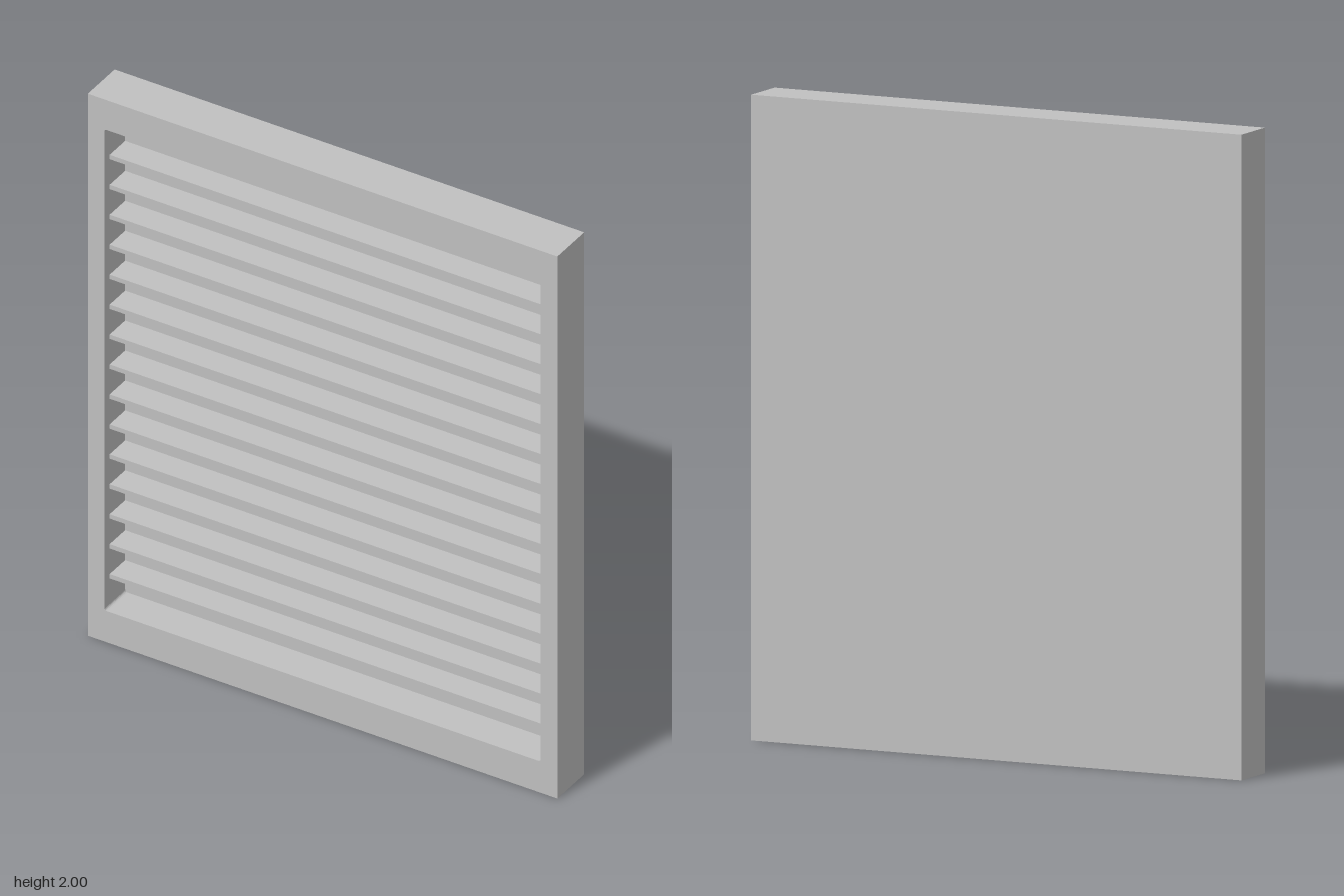
import * as THREE from 'three';

const W = 1.69, H = 2, D = 0.156;            // overall size
const X = 0.785, Y0 = 0.115, Y1 = 1.89;      // opening
const FRONT = D / 2, PANEL = FRONT - 0.12;   // front plane and recessed panel plane
const SLATS = 16, PITCH = 0.1105;

function openingPath(r = 0.01) {
  const p = new THREE.Path();
  p.moveTo(-X + r, Y0);
  p.lineTo(X - r, Y0);
  p.quadraticCurveTo(X, Y0, X, Y0 + r);
  p.lineTo(X, Y1 - r);
  p.quadraticCurveTo(X, Y1, X - r, Y1);
  p.lineTo(-X + r, Y1);
  p.quadraticCurveTo(-X, Y1, -X, Y1 - r);
  p.lineTo(-X, Y0 + r);
  p.quadraticCurveTo(-X, Y0, -X + r, Y0);
  return p;
}

export function createModel() {
  const group = new THREE.Group();
  const grey = new THREE.MeshStandardMaterial({ color: 0xc0c0c0 });
  grey.name = 'light grey';
  const add = (name, geometry, parent = group) => {
    const mesh = new THREE.Mesh(geometry, grey);
    mesh.name = name;
    parent.add(mesh);
    return mesh;
  };

  // Outer frame with the opening cut out
  const outline = new THREE.Shape([
    new THREE.Vector2(-W / 2, 0), new THREE.Vector2(W / 2, 0),
    new THREE.Vector2(W / 2, H), new THREE.Vector2(-W / 2, H),
  ]);
  outline.holes.push(openingPath());
  const frame = new THREE.ExtrudeGeometry(outline, { depth: FRONT - PANEL, bevelEnabled: false, curveSegments: 4 });
  add('frame', frame.translate(0, 0, PANEL));

  // Closed back panel
  const thick = PANEL + D / 2;
  add('backPanel', new THREE.BoxGeometry(W, H, thick)).position.set(0, H / 2, -D / 2 + thick / 2);

  // Louvre slats: flat on top, underside falling towards the back
  const depth = 0.09;
  const section = new THREE.Shape([
    new THREE.Vector2(0, 0), new THREE.Vector2(0, -0.058),
    new THREE.Vector2(depth, -0.016), new THREE.Vector2(depth, 0),
  ]);
  const slat = new THREE.ExtrudeGeometry(section, { depth: 2 * X, bevelEnabled: false });
  slat.rotateY(-Math.PI / 2).translate(X, 0, PANEL);
  const louvres = new THREE.Group();
  louvres.name = 'louvres';
  group.add(louvres);
  for (let i = 0; i < SLATS; i++) {
    add('slat', slat, louvres).position.y = Y1 - 0.001 - i * PITCH;
  }
  return group;
}
